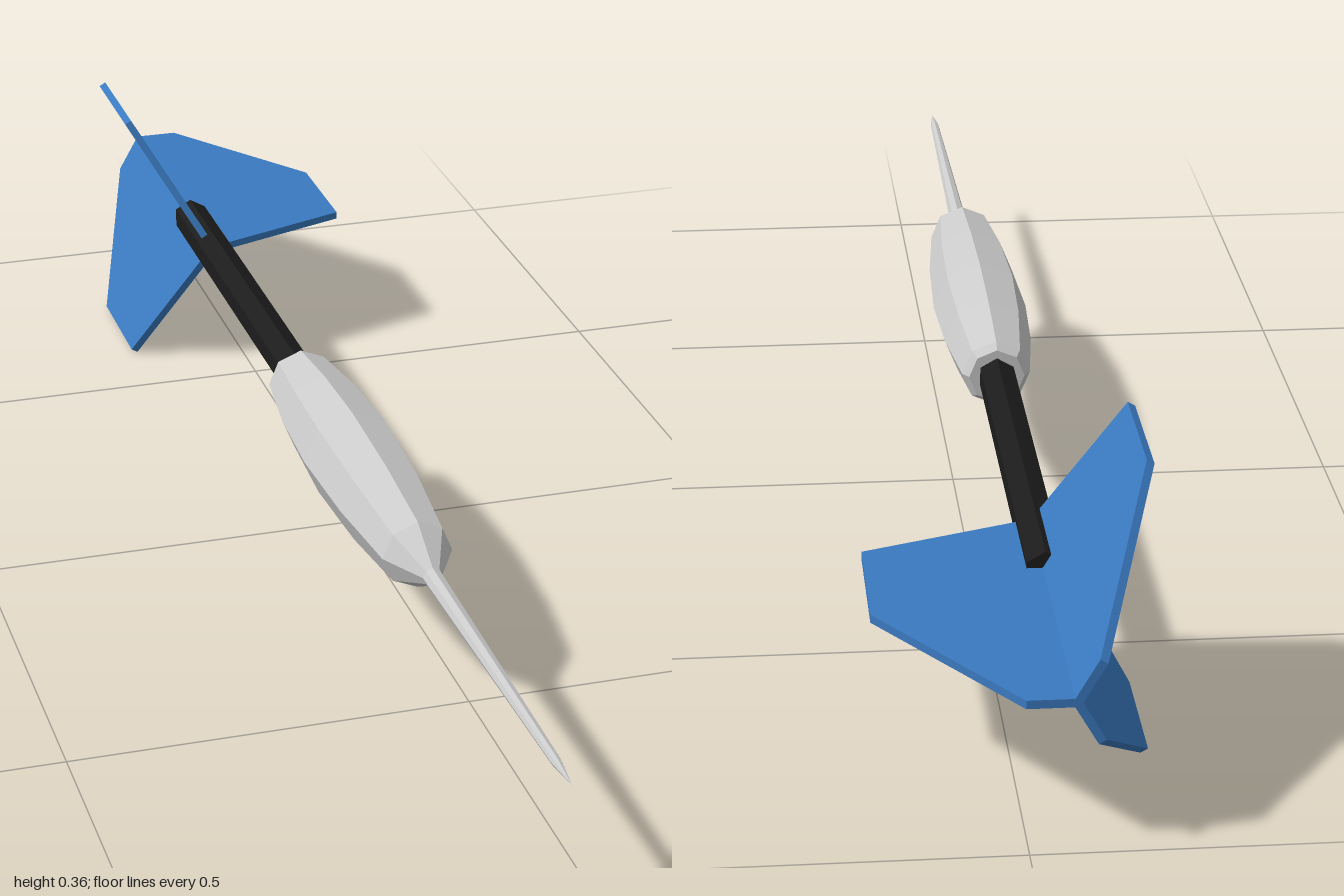
import * as THREE from 'three';

export function createModel() {
  const model = new THREE.Group();
  model.name = 'dart';
  const steel = new THREE.MeshStandardMaterial({ color: 0xcccccc, flatShading: true });
  const black = new THREE.MeshStandardMaterial({ color: 0x1c1c1c, flatShading: true });
  const blue = new THREE.MeshStandardMaterial({ color: 0x3a7ac0, flatShading: true });

  const add = (name, geometry, material) => {
    const mesh = new THREE.Mesh(geometry, material);
    mesh.name = name;
    model.add(mesh);
    return mesh;
  };

  // Turned part lying along z; profile is [radius, z] from back to front
  const turned = (profile, sides) =>
    new THREE.LatheGeometry(profile.map(([r, z]) => new THREE.Vector2(r, z)), sides).rotateX(Math.PI / 2);

  // Eight-sided weighted barrel
  add('barrel', turned([
    [0, -0.085], [0.036, -0.085], [0.044, -0.073], [0.057, 0.04], [0.0625, 0.165],
    [0.057, 0.31], [0.044, 0.445], [0.012, 0.505],
  ], 8), steel);

  // Needle point
  add('point', turned([[0.012, 0.505], [0.006, 0.95], [0, 1]], 8), steel);

  // Six-sided shaft
  add('shaft', turned([[0, -0.675], [0.025, -0.675], [0.025, -0.085], [0, -0.085]], 6), black);

  // Three flat fins around the shaft; outline is [distance from axis, z]
  const outline = [[0, -0.54], [0.207, -0.615], [0.207, -0.78], [0.055, -1], [0, -1]];
  const finShape = new THREE.Shape(outline.map(([r, z]) => new THREE.Vector2(r, -z)));
  const thickness = 0.01;
  for (let i = 0; i < 3; i++) {
    const fin = new THREE.ExtrudeGeometry(finShape, { depth: thickness, bevelEnabled: false })
      .translate(0, 0, -thickness / 2)
      .rotateX(-Math.PI / 2);
    add('fin' + (i + 1), fin, blue).rotation.z = i * Math.PI * 2 / 3;
  }

  // Axis height and offset so the fins stand on the ground and the bounds are centred
  model.position.set(-0.05, 0.184, 0);
  const root = new THREE.Group();
  root.add(model);
  return root;
}
